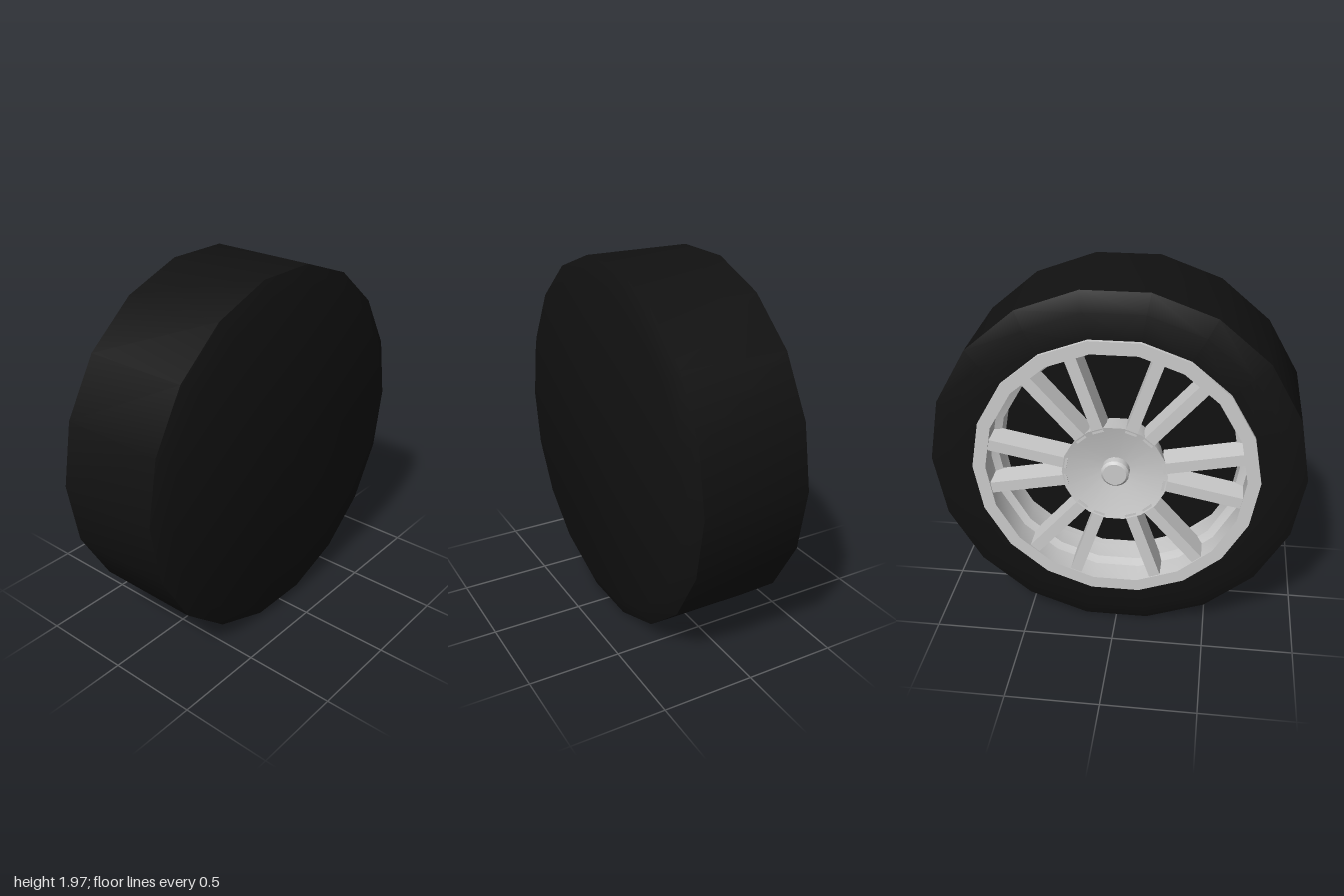
import * as THREE from 'three';
import { toCreasedNormals } from 'three/addons/utils/BufferGeometryUtils.js';

const SIDES = 18;
const rubber = new THREE.MeshStandardMaterial({ color: 0x111111 });
const metal = new THREE.MeshStandardMaterial({ color: 0xcccccc });

// Turns a profile of [radius, x] points around the x axis.
// Points run from the inner (+x) end outwards, towards the open (-x) face.
function turned(name, profile, material, crease = 0.5) {
  const points = profile.map(([r, x]) => new THREE.Vector2(r, -x));
  const geometry = new THREE.LatheGeometry(points, SIDES).rotateZ(Math.PI / 2);
  const mesh = new THREE.Mesh(toCreasedNormals(geometry, crease), material);
  mesh.name = name;
  return mesh;
}

export function createModel() {
  const wheel = new THREE.Group();
  wheel.name = 'wheel';
  wheel.position.y = 0.985;

  // Tire: closed disc at +x, chamfered tread, hollow well on the rim side
  wheel.add(turned('tire', [
    [0, 0.345], [0.9, 0.345], [1, 0.3], [1, -0.29], [0.9, -0.33],
    [0.74, -0.33], [0.74, 0.02], [0, 0.02],
  ], rubber));

  // Rim: raised lip with a stepped barrel running into the well
  wheel.add(turned('rim', [
    [0.76, -0.3], [0.76, -0.35], [0.69, -0.35], [0.69, -0.22],
    [0.65, -0.2], [0.65, -0.08], [0.69, -0.06], [0.69, 0.02],
  ], metal));

  // Hub: shallow dish around a round centre cap
  wheel.add(turned('hub', [
    [0, -0.12], [0.24, -0.16], [0.28, -0.345], [0.07, -0.29], [0, -0.29],
  ], metal));
  wheel.add(turned('centreCap', [
    [0.075, -0.27], [0.075, -0.335], [0.062, -0.348], [0, -0.348],
  ], metal));

  // Spokes: six pairs, each pair opening slightly towards the rim
  const inner = 0.255, outer = 0.72, depth = 0.15;
  const spokeGeometry = new THREE.BoxGeometry(depth, 0.062, outer - inner)
    .translate(-0.343 + depth / 2, 0, (inner + outer) / 2);
  const spokes = new THREE.Group();
  spokes.name = 'spokes';
  for (let pair = 0; pair < 6; pair++) {
    for (const side of [-1, 1]) {
      const spoke = new THREE.Mesh(spokeGeometry, metal);
      spoke.name = 'spoke';
      spoke.rotation.x = pair * Math.PI / 3 + side * 0.195;
      spokes.add(spoke);
    }
  }
  wheel.add(spokes);

  const model = new THREE.Group();
  model.add(wheel);
  return model;
}
